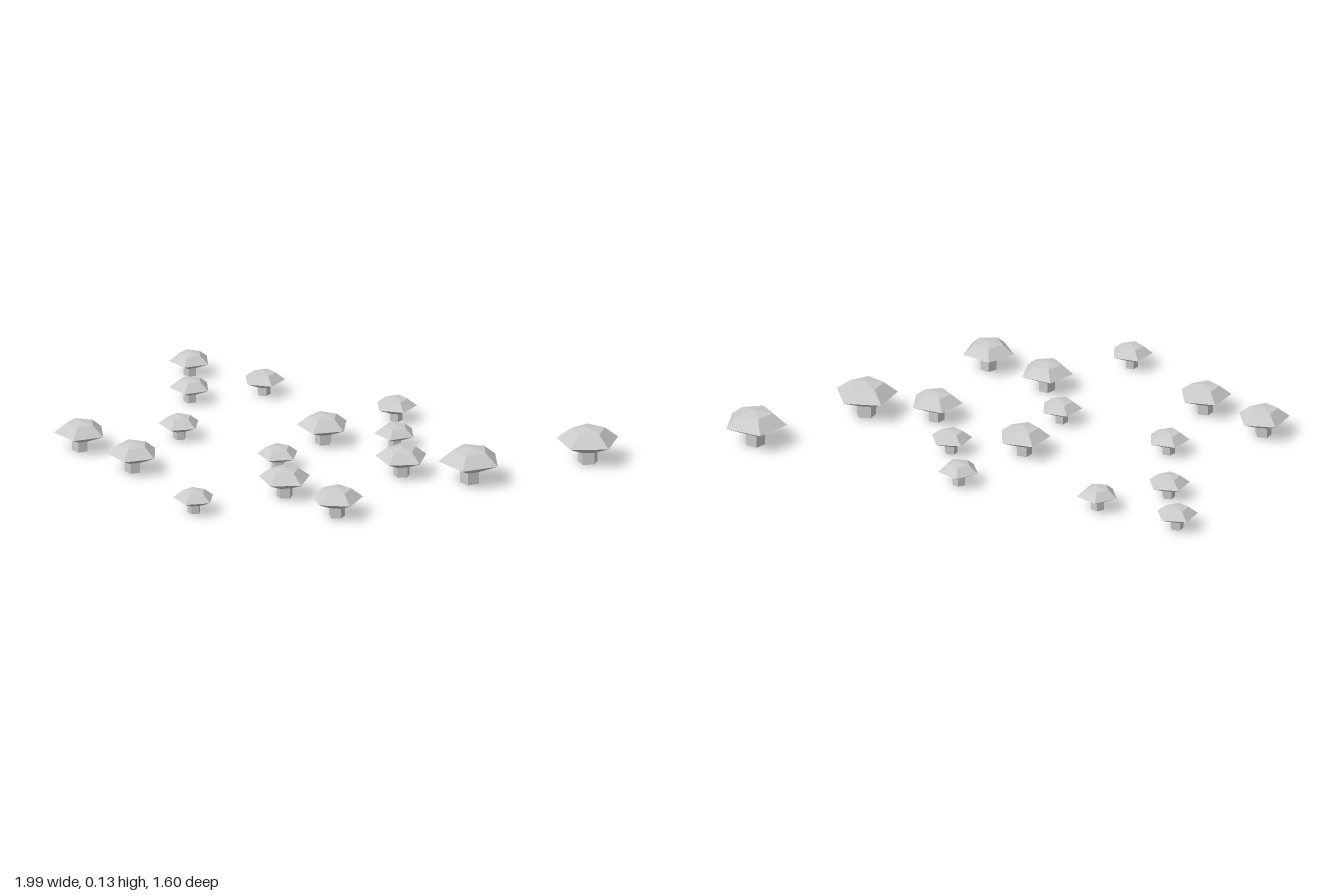
import * as THREE from 'three';

const SIDES = 5;
const SMALL = 0.66, MEDIUM = 0.83, LARGE = 1;

// x, z, turn in degrees, size
const PATCH = [
  [-0.46, -0.73, -17, SMALL],
  [-0.478, -0.467, -17, SMALL],
  [-0.213, -0.52, 18, SMALL],
  [0.236, -0.229, 18, SMALL],
  [-0.542, -0.104, -7, SMALL],
  [0.216, 0.039, -17, SMALL],
  [-0.214, 0.221, -5, SMALL],
  [-0.542, 0.633, -7, SMALL],
  [-0.901, -0.014, -17, MEDIUM],
  [-0.73, 0.21, -13, MEDIUM],
  [-0.036, -0.02, -9, MEDIUM],
  [0.219, 0.319, -2, MEDIUM],
  [-0.211, 0.497, 2, MEDIUM],
  [-0.04, 0.707, 10, MEDIUM],
  [0.457, 0.403, -18, LARGE],
  [0.888, 0.234, 1, LARGE],
];

export function createModel() {
  const group = new THREE.Group();
  group.name = 'mushroomPatch';
  const material = new THREE.MeshStandardMaterial({ color: 0xcccccc, flatShading: true });

  // Cap: sloping underside, wide rim, steep shoulder, nearly flat crown
  const capProfile = [[0, 0.045], [0.036, 0.045], [0.115, 0.081], [0.064, 0.122], [0, 0.131]]
    .map(([r, y]) => new THREE.Vector2(r, y));
  const capGeometry = new THREE.LatheGeometry(capProfile, SIDES);

  // Stem: short prism reaching into the cap
  const stemGeometry = new THREE.CylinderGeometry(0.036, 0.036, 0.06, SIDES);
  stemGeometry.translate(0, 0.03, 0);

  PATCH.forEach(([x, z, turn, size], i) => {
    const mushroom = new THREE.Group();
    mushroom.name = `mushroom${i + 1}`;
    const cap = new THREE.Mesh(capGeometry, material);
    cap.name = 'cap';
    const stem = new THREE.Mesh(stemGeometry, material);
    stem.name = 'stem';
    mushroom.add(cap, stem);
    mushroom.position.set(x, 0, z);
    mushroom.rotation.y = Math.PI - THREE.MathUtils.degToRad(turn);
    mushroom.scale.setScalar(size);
    group.add(mushroom);
  });
  return group;
}
